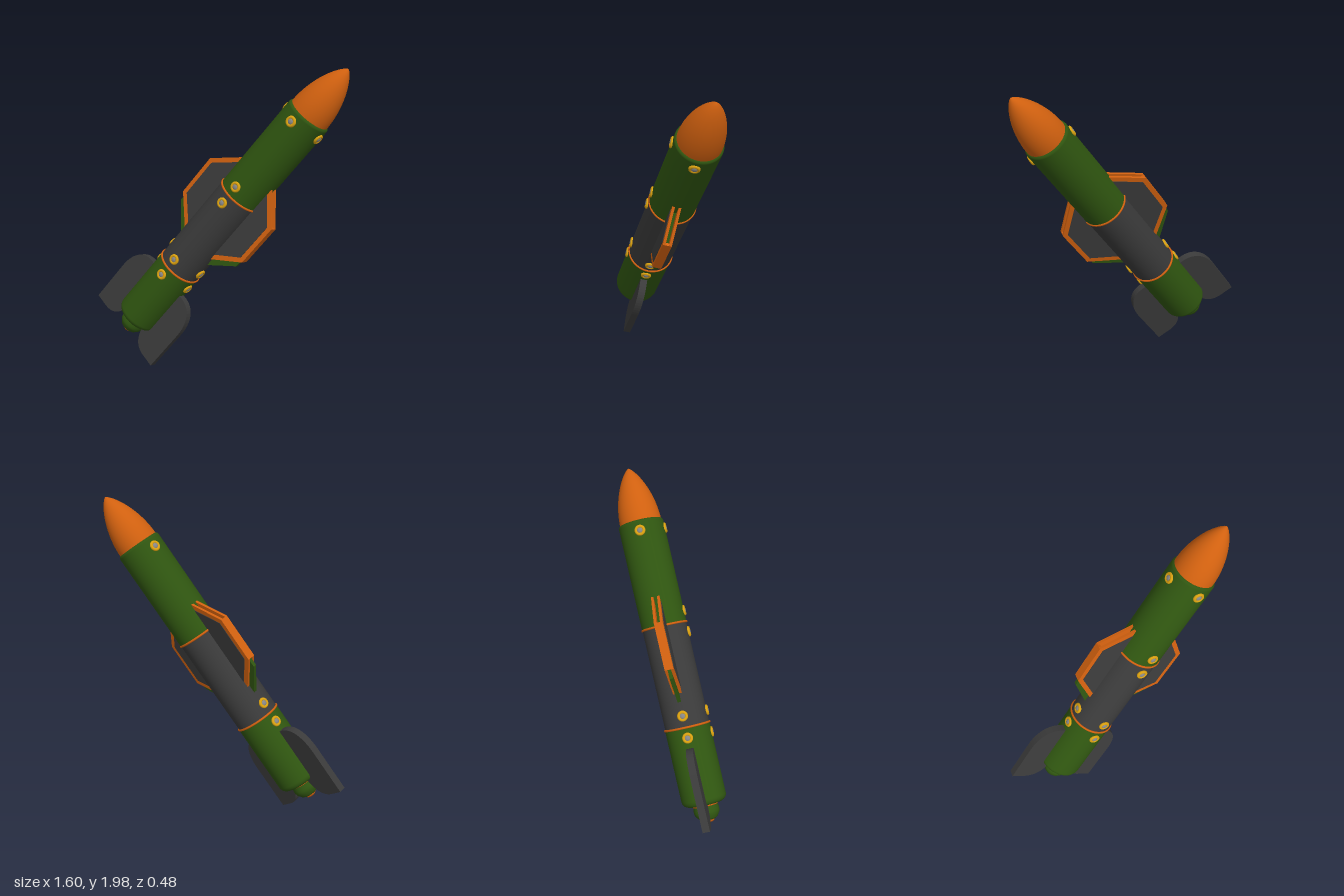
import * as THREE from 'three';

const mat = (name, color) => Object.assign(new THREE.MeshStandardMaterial({ color }), { name });
const green = mat('green', 0x2f5510);
const dark = mat('charcoal', 0x3a3a3a);
const orange = mat('orange', 0xd0600f);
const gold = mat('gold', 0xd9a010);
const grey = mat('grey', 0x868686);

const R = 0.142;

function part(name, geometry, material, parent) {
  const mesh = new THREE.Mesh(geometry, material);
  mesh.name = name;
  parent.add(mesh);
  return mesh;
}

// Turned part: list of [radius, height along the axis], from tail to nose
const turned = (pts, seg = 48) =>
  new THREE.LatheGeometry(pts.map(([r, y]) => new THREE.Vector2(r, y)), seg);

// Flat plate from an outline, centred on the given depth
function plate(shape, thickness, z = 0) {
  const g = new THREE.ExtrudeGeometry(shape, { depth: thickness, bevelEnabled: false, curveSegments: 12 });
  return g.translate(0, 0, z - thickness / 2);
}

const outline = (pts) => new THREE.Shape(pts.map(([x, y]) => new THREE.Vector2(x, y)));

// Quarter-round edge from (r0, y0) sweeping outwards
function roundEdge(cx, cy, r, a0, a1, n = 6) {
  return Array.from({ length: n + 1 }, (_, i) => {
    const a = a0 + ((a1 - a0) * i) / n;
    return [cx + r * Math.cos(a), cy + r * Math.sin(a)];
  });
}

function ring(name, radius, tube, y, parent) {
  const m = part(name, new THREE.TorusGeometry(radius, tube, 8, 48), orange, parent);
  m.rotation.x = Math.PI / 2;
  m.position.y = y;
}

// Wing: two orange skins and a tip bar around a green core, dark panels on both faces
function makeWing() {
  const wing = new THREE.Group();
  wing.name = 'wing';
  const skin = outline([[0.09, -0.24], [0.306, -0.045], [0.306, 0.245], [0.09, 0.465]]);
  const panel = outline([[0.09, -0.198], [0.278, -0.03], [0.278, 0.232], [0.09, 0.423]]);
  const core = outline([[0.09, -0.3], [0.288, -0.1], [0.288, 0.2], [0.09, 0.405]]);
  for (const side of [-1, 1]) {
    part('wingFrame', plate(skin, 0.016, side * 0.019), orange, wing);
    part('wingPanel', plate(panel, 0.004, side * 0.0285), dark, wing);
  }
  part('wingCore', plate(core, 0.022), green, wing);
  part('wingTip', new THREE.BoxGeometry(0.018, 0.29, 0.053).translate(0.297, 0.1, 0), orange, wing);
  return wing;
}

// Tail fin: blade with two opposite rounded corners
function makeFin() {
  const s = new THREE.Shape();
  s.moveTo(0.09, -0.54);
  s.lineTo(0.17, -0.54);
  s.bezierCurveTo(0.255, -0.545, 0.306, -0.62, 0.306, -0.74);
  s.lineTo(0.306, -1.035);
  s.lineTo(0.21, -1.035);
  s.quadraticCurveTo(0.115, -1.03, 0.09, -0.92);
  const fin = new THREE.Mesh(plate(s, 0.045), dark);
  fin.name = 'tailFin';
  return fin;
}

// Bolt: gold collar and grey dome, facing local +z
function makeBolt() {
  const bolt = new THREE.Group();
  bolt.name = 'bolt';
  part('boltCollar', new THREE.TorusGeometry(0.024, 0.01, 10, 24), gold, bolt);
  const dome = part('boltHead', new THREE.SphereGeometry(0.02, 16, 8, 0, Math.PI * 2, 0, Math.PI / 2), grey, bolt);
  dome.rotation.x = Math.PI / 2;
  dome.scale.y = 0.6;
  return bolt;
}

export function createModel() {
  const model = new THREE.Group();
  model.name = 'rocket';

  // Tilted flight axis: local y runs from tail to nose
  const d = new THREE.Vector3(0.604, 0.791, 0.089).normalize();
  const u = new THREE.Vector3(d.y, -d.x, 0).normalize();
  const w = new THREE.Vector3().crossVectors(u, d);
  const tilt = new THREE.Group();
  tilt.name = 'tilt';
  tilt.quaternion.setFromRotationMatrix(new THREE.Matrix4().makeBasis(u, d, w));
  tilt.position.set(0.034, 1.011, 0.022);
  model.add(tilt);

  // Roll so that the wings lie in the local xy plane
  const hull = new THREE.Group();
  hull.name = 'hull';
  hull.rotation.y = -Math.PI / 6;
  tilt.add(hull);

  // Body sections
  part('rearBody', turned([[0, -0.905], [0.06, -0.905],
    ...roundEdge(R - 0.04, -0.865, 0.04, -Math.PI / 2, 0), [R, -0.8], [R, -0.41]]), green, hull);
  part('midBody', turned([[R - 0.002, -0.41], [R - 0.002, 0.23]]), dark, hull);
  part('frontBody', turned([[R, 0.23], [R, 0.8],
    ...roundEdge(R - 0.02, 0.88, 0.02, 0, Math.PI / 2), [0.05, 0.9]]), green, hull);
  ring('rearSeam', R, 0.007, -0.41, hull);
  ring('frontSeam', R, 0.007, 0.23, hull);

  // Nose cone
  const nose = [];
  for (let i = 0; i <= 24; i++) {
    const t = Math.sin((i / 24) * Math.PI / 2);
    nose.push([0.131 * Math.pow(Math.max(0, 1 - Math.pow(t, 1.9)), 0.75), 0.895 + 0.35 * t]);
  }
  part('noseCone', turned(nose), orange, hull);

  // Tail nozzle
  ring('nozzleSeam', 0.076, 0.007, -0.91, hull);
  part('nozzle', turned([[0, -1.005], [0.045, -1.005], [0.06, -0.995], [0.077, -0.97],
    [0.081, -0.955], [0.081, -0.94], [0.076, -0.9]]), green, hull);
  part('nozzleTip', turned([[0, -1.024], [0.026, -1.021], [0.038, -1.01], [0.04, -0.995]]), orange, hull);

  // Wings and fins on both sides
  for (const turn of [0, Math.PI]) {
    const side = new THREE.Group();
    side.name = turn ? 'rightSide' : 'leftSide';
    side.rotation.y = turn;
    side.add(makeWing(), makeFin());
    hull.add(side);
  }

  // Bolt rows: heights along the axis and angles around it
  const front = Math.PI / 2;
  const rows = [[0.83, [0, front, Math.PI]], [0.3, [front]], [0.165, [front]],
    [-0.337, [0, front, Math.PI]], [-0.475, [0, front, Math.PI]]];
  for (const [y, angles] of rows) {
    for (const a of angles) {
      const bolt = makeBolt();
      bolt.position.set(R * Math.cos(a), y, R * Math.sin(a));
      bolt.rotation.y = Math.PI / 2 - a;
      hull.add(bolt);
    }
  }
  return model;
}
